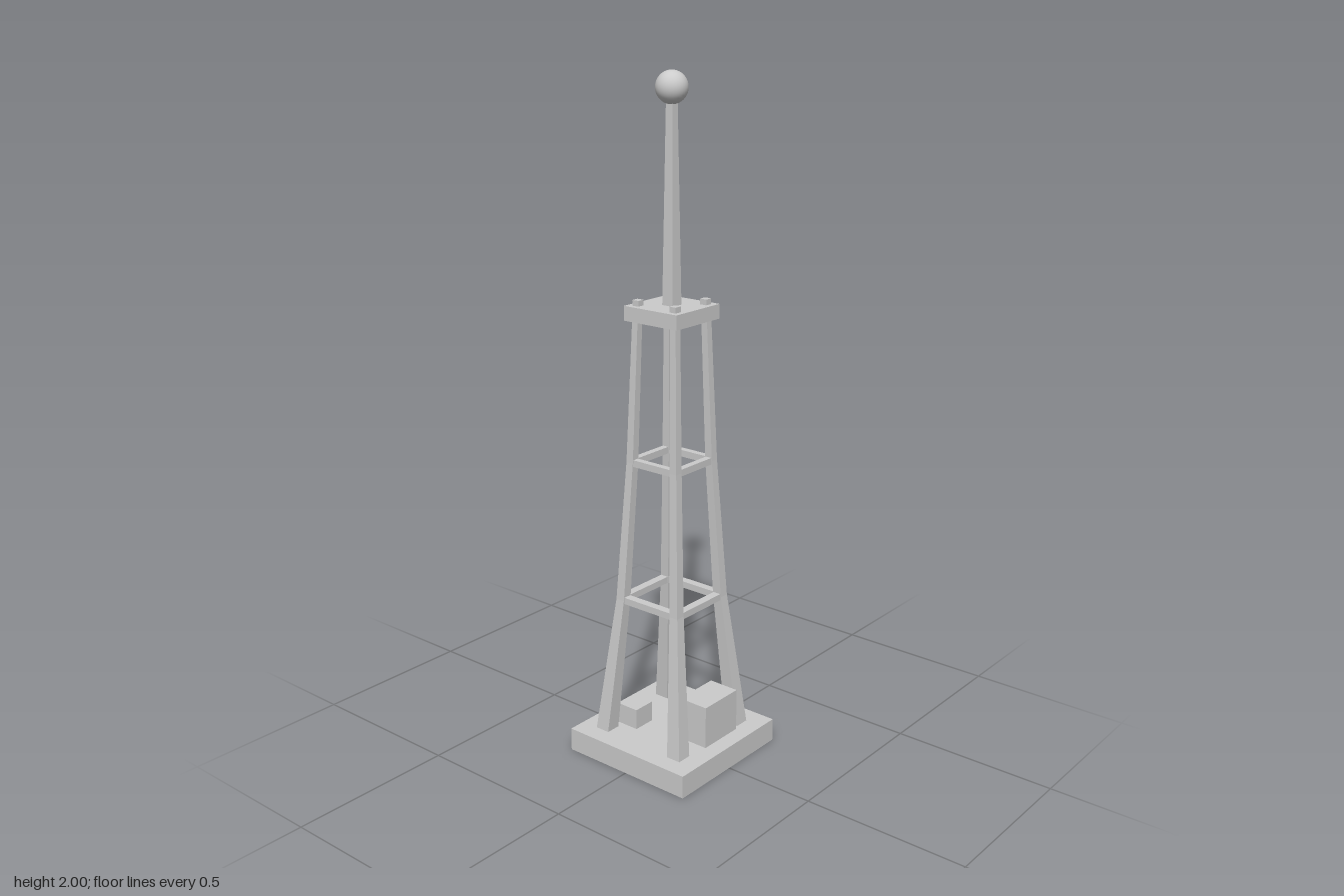
import * as THREE from 'three';

const material = new THREE.MeshStandardMaterial({ color: 0xcccccc });
const flatMaterial = new THREE.MeshStandardMaterial({ color: 0xcccccc, flatShading: true, side: THREE.DoubleSide });

function add(parent, name, geometry, mat = material) {
  const mesh = new THREE.Mesh(geometry, mat);
  mesh.name = name;
  parent.add(mesh);
  return mesh;
}

// Box given by its lower and upper limits on each axis
function box(parent, name, [x0, x1], [y0, y1], [z0, z1]) {
  const mesh = add(parent, name, new THREE.BoxGeometry(x1 - x0, y1 - y0, z1 - z0));
  mesh.position.set((x0 + x1) / 2, (y0 + y1) / 2, (z0 + z1) / 2);
  return mesh;
}

// Square beam through stations { y, c: centre in x and z, h: half width }
function squareLoft(stations, sx, sz) {
  const corners = [[-1, -1], [-1, 1], [1, 1], [1, -1]];
  const positions = [];
  const index = [];
  for (const { y, c, h } of stations) {
    for (const [u, v] of corners) positions.push(sx * c + u * h, y, sz * c + v * h);
  }
  for (let i = 0; i < stations.length - 1; i++) {
    for (let j = 0; j < 4; j++) {
      const a = i * 4 + j, b = i * 4 + (j + 1) % 4;
      index.push(a, b, b + 4, a, b + 4, a + 4);
    }
  }
  const t = (stations.length - 1) * 4;
  index.push(0, 2, 1, 0, 3, 2, t, t + 1, t + 2, t, t + 2, t + 3);
  const geometry = new THREE.BufferGeometry();
  geometry.setAttribute('position', new THREE.Float32BufferAttribute(positions, 3));
  geometry.setIndex(index);
  const flat = geometry.toNonIndexed();
  flat.computeVertexNormals();
  return flat;
}

export function createModel() {
  const model = new THREE.Group();
  model.name = 'latticeTower';

  // Ground slab and equipment boxes
  box(model, 'baseSlab', [-0.217, 0.217], [0, 0.07], [-0.217, 0.217]);
  box(model, 'largeCabinet', [-0.05, 0.098], [0.07, 0.2], [0.07, 0.167]);
  box(model, 'smallCabinet', [-0.094, -0.022], [0.07, 0.133], [-0.133, -0.063]);

  // Upper structure sits very slightly off the slab centre
  const tower = new THREE.Group();
  tower.name = 'tower';
  tower.position.set(-0.001, 0, -0.002);
  model.add(tower);

  // Four tapering legs, kinked at each brace level
  const stations = [
    { y: 0.07, c: 0.138, h: 0.023 },
    { y: 0.49, c: 0.101, h: 0.0145 },
    { y: 0.912, c: 0.08, h: 0.012 },
    { y: 1.33, c: 0.068, h: 0.01 },
  ];
  for (const sx of [-1, 1]) {
    for (const sz of [-1, 1]) {
      add(tower, 'leg', squareLoft(stations, sx, sz), flatMaterial);
      // Small stud over each leg
      box(tower, 'stud', [sx * 0.0665 - 0.011, sx * 0.0665 + 0.011], [1.36, 1.383],
        [sz * 0.0665 - 0.011, sz * 0.0665 + 0.011]);
    }
  }

  // Two square rings of horizontal braces
  for (const { y, c, h } of stations.slice(1, 3)) {
    const w = h - 0.002;
    for (const s of [-1, 1]) {
      box(tower, 'brace', [-c, c], [y - 0.01, y + 0.01], [s * c - w, s * c + w]);
      box(tower, 'brace', [s * c - w, s * c + w], [y - 0.01, y + 0.01], [-c, c]);
    }
  }

  // Platform, square tapered mast and ball
  box(tower, 'platform', [-0.094, 0.094], [1.325, 1.367], [-0.094, 0.094]);
  add(tower, 'mast', squareLoft([{ y: 1.36, c: 0, h: 0.019 }, { y: 1.93, c: 0, h: 0.011 }], 1, 1), flatMaterial);
  add(tower, 'ball', new THREE.SphereGeometry(0.045, 32, 20)).position.y = 1.955;

  return model;
}
